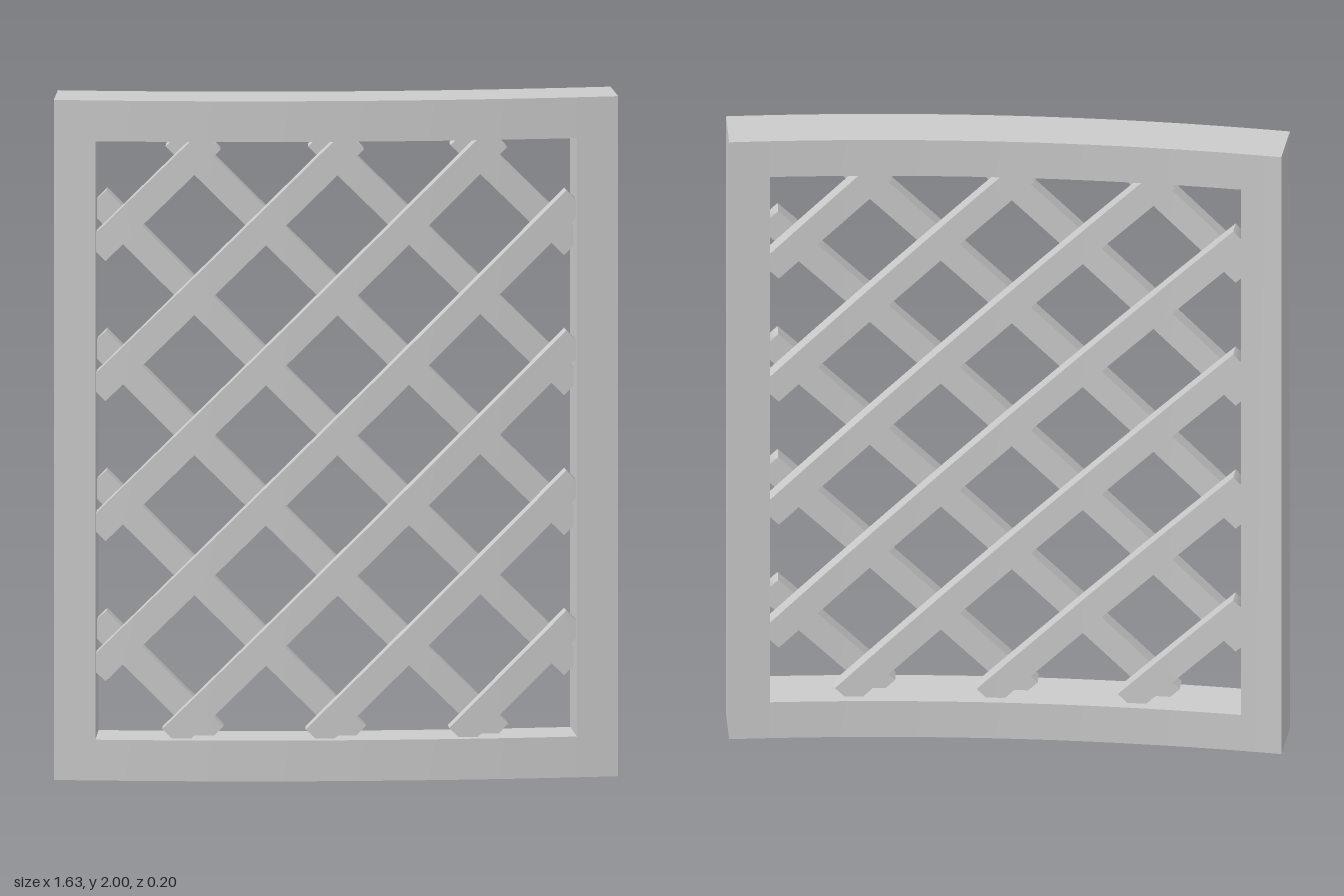
import * as THREE from 'three';

const R = 7.01;            // bend radius of the panel's middle surface
const Z0 = 0.023;          // z of the middle surface at x = 0
const HALF = 0.809;        // half width along the arc
const OPEN = 0.69;         // half width of the opening
const RAIL = 0.12;         // rail height
const DEPTH = 0.149;       // frame depth
const SLAT_HALF = 0.039;   // half width of a slat
const SLAT_DEPTH = 0.047;

// Wrap a flat geometry (x along the arc, z outward) round the vertical bend axis
function bend(geo) {
  const p = geo.attributes.position;
  for (let i = 0; i < p.count; i++) {
    const a = p.getX(i) / R, r = R + p.getZ(i);
    p.setXYZ(i, r * Math.sin(a), p.getY(i), r * Math.cos(a) - R + Z0);
  }
  geo.computeVertexNormals();
  return geo;
}

function frameBar(x0, x1, y0, y1, segments) {
  const geo = new THREE.BoxGeometry(x1 - x0, y1 - y0, DEPTH, segments, 1, 1);
  geo.translate((x0 + x1) / 2, (y0 + y1) / 2, 0);
  return bend(geo);
}

// Diagonal slat crossing x = 0 at height c, rising (dir 1) or falling (dir -1),
// trimmed to the opening with its sharp end corners cut square
function slat(c, dir, z) {
  const k = Math.SQRT1_2;
  const range = (v) => {
    const px = -dir * k * v, py = c + k * v;
    const ys = [(RAIL - py) / (dir * k), (2 - RAIL - py) / (dir * k)];
    return [
      Math.max((-OPEN - px) / k, Math.min(...ys)),
      Math.min((OPEN - px) / k, Math.max(...ys)),
    ];
  };
  const [mid0, mid1] = range(0);
  const geo = new THREE.BoxGeometry(1, 2 * SLAT_HALF, SLAT_DEPTH, 16, 2, 1);
  const p = geo.attributes.position;
  for (let i = 0; i < p.count; i++) {
    const v = p.getY(i);
    const [a, b] = range(v);
    const t = THREE.MathUtils.lerp(Math.max(a, mid0), Math.min(b, mid1), p.getX(i) + 0.5);
    p.setXYZ(i, k * t - dir * k * v, c + dir * k * t + k * v, p.getZ(i) + z);
  }
  return bend(geo);
}

export function createModel() {
  const group = new THREE.Group();
  group.name = 'curvedLatticePanel';
  const grey = new THREE.MeshStandardMaterial({ color: 0xcccccc });
  grey.name = 'light grey';

  const add = (name, geo, parent) => {
    const mesh = new THREE.Mesh(geo, grey);
    mesh.name = name;
    parent.add(mesh);
  };

  // Outer frame
  const frame = new THREE.Group();
  frame.name = 'frame';
  add('leftStile', frameBar(OPEN, HALF, 0, 2, 2), frame);
  add('rightStile', frameBar(-HALF, -OPEN, 0, 2, 2), frame);
  add('bottomRail', frameBar(-OPEN, OPEN, 0, RAIL, 24), frame);
  add('topRail', frameBar(-OPEN, OPEN, 2 - RAIL, 2, 24), frame);
  group.add(frame);

  // Two crossed layers of slats, one behind the other
  const lattice = new THREE.Group();
  lattice.name = 'lattice';
  for (let i = -3; i <= 3; i++) {
    const c = 1.004 + 0.412 * i;
    add('frontSlat', slat(c, 1, SLAT_DEPTH / 2), lattice);
    add('backSlat', slat(c, -1, -SLAT_DEPTH / 2), lattice);
  }
  group.add(lattice);
  return group;
}
